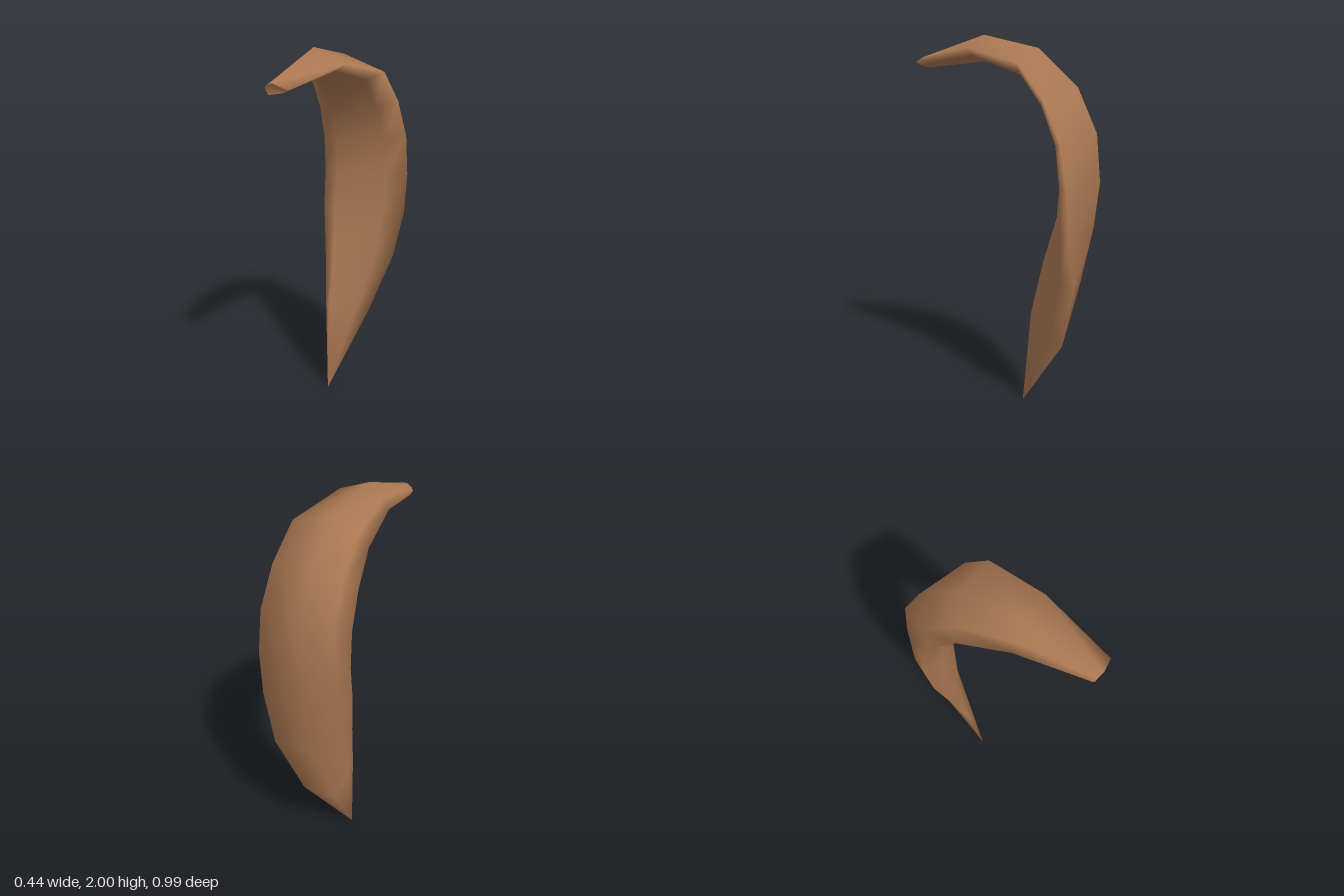
import * as THREE from 'three';

// Cross-sections from the blunt overhanging end down to the pointed base:
// left edge, inner ridge, right edge, outer ridge (x, y, z each)
const SECTIONS = [
  [-0.05, 1.865, 0.475, -0.03, 1.835, 0.48, 0.077, 1.865, 0.485, 0, 1.89, 0.493],
  [-0.125, 1.89, 0.14, -0.05, 1.87, 0.14, 0.15, 1.935, 0.13, -0.02, 2.0, 0.13],
  [-0.18, 1.8, -0.1, -0.1, 1.79, -0.08, 0.195, 1.865, -0.17, -0.03, 1.935, -0.17],
  [-0.21, 1.65, -0.22, -0.13, 1.64, -0.2, 0.207, 1.7, -0.31, -0.05, 1.75, -0.375],
  [-0.22, 1.47, -0.28, -0.13, 1.47, -0.26, 0.215, 1.5, -0.405, -0.065, 1.53, -0.475],
  [-0.22, 1.28, -0.29, -0.13, 1.28, -0.265, 0.215, 1.28, -0.44, -0.07, 1.29, -0.497],
  [-0.21, 1.08, -0.26, -0.13, 1.07, -0.24, 0.2, 1.05, -0.45, -0.06, 1.06, -0.475],
  [-0.165, 0.83, -0.2, -0.1, 0.83, -0.18, 0.14, 0.77, -0.455, -0.06, 0.75, -0.41],
  [-0.12, 0.54, -0.13, -0.09, 0.53, -0.115, 0.04, 0.43, -0.36, -0.07, 0.3, -0.23],
];
const TIP = new THREE.Vector3(-0.075, 0, -0.075);
const SIDES = 6;

// Expands four guide points to a six-sided ring with rounded shoulders
function makeRing(s) {
  const [left, inner, right, outer] = [0, 3, 6, 9].map((k) => new THREE.Vector3().fromArray(s, k));
  const innerRight = inner.clone().lerp(right, 0.75)
    .addScaledVector(inner.clone().sub(outer), 0.15);
  const outerLeft = left.clone().lerp(outer, 0.45)
    .addScaledVector(left.clone().sub(right), 0.07);
  return [left, inner, innerRight, right, outer, outerLeft];
}

function makeGeometry(points, index) {
  const geometry = new THREE.BufferGeometry().setFromPoints(points);
  geometry.setIndex(index);
  geometry.computeVertexNormals();
  return geometry;
}

export function createModel() {
  const group = new THREE.Group();
  group.name = 'curvedHorn';
  const brown = new THREE.MeshStandardMaterial({ color: 0xab7852 });
  brown.name = 'brown';

  // Smooth skin joining the rings and closing at the base point
  const rings = SECTIONS.map(makeRing);
  const points = [...rings.flat(), TIP];
  const index = [];
  rings.forEach((ring, i) => {
    for (let j = 0; j < SIDES; j++) {
      const a = i * SIDES + j;
      const b = i * SIDES + (j + 1) % SIDES;
      if (i === rings.length - 1) index.push(a, points.length - 1, b);
      else index.push(a, a + SIDES, b, b, a + SIDES, b + SIDES);
    }
  });
  const body = new THREE.Mesh(makeGeometry(points, index), brown);
  body.name = 'hornBody';
  group.add(body);

  // Flat cap on the blunt end
  const capIndex = [];
  for (let j = 1; j < SIDES - 1; j++) capIndex.push(0, j, j + 1);
  const cap = new THREE.Mesh(makeGeometry(rings[0], capIndex), brown);
  cap.name = 'endCap';
  group.add(cap);

  return group;
}
